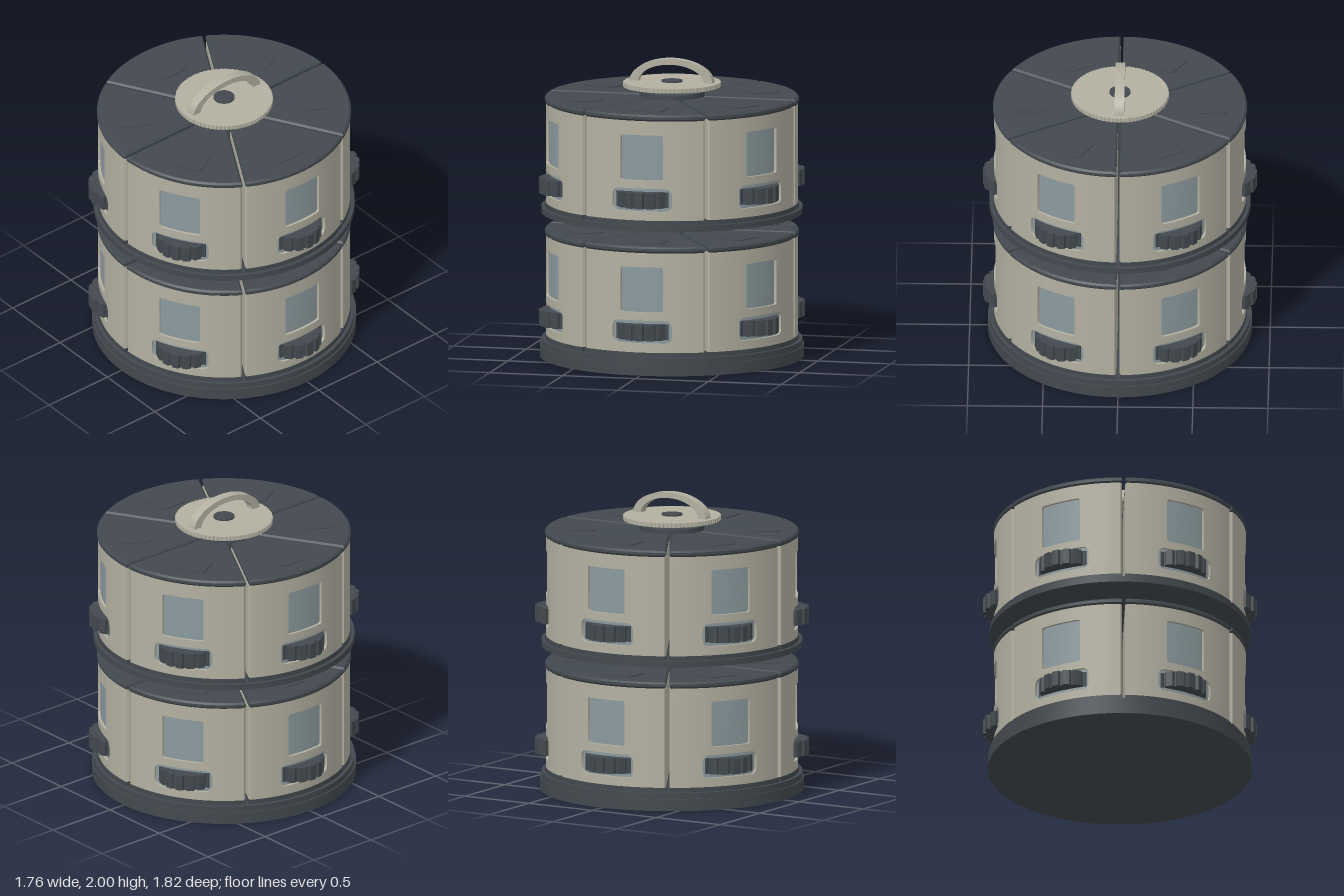
import * as THREE from 'three';
import { toCreasedNormals } from 'three/addons/utils/BufferGeometryUtils.js';

const mat = (name, color) => Object.assign(new THREE.MeshStandardMaterial({ color }), { name });
const cream = mat('warm grey shell', 0xb3b0a1);
const dark = mat('charcoal', 0x42494e);
const glass = mat('blue grey glass', 0x8b9a9e);

const R = 0.84, CORE = 0.82, HALF = Math.PI / 6;

function part(name, geometry, material) {
  const m = new THREE.Mesh(geometry, material);
  m.name = name;
  return m;
}

// Upright disc between two heights
function disc(name, r, y0, y1, material = dark) {
  const m = part(name, new THREE.CylinderGeometry(r, r, y1 - y0, 96), material);
  m.position.y = (y0 + y1) / 2;
  return m;
}

// Plan shape (x, z) extruded between two heights, with an optional bevel
function slab(shape, y0, y1, bevel = 0) {
  const g = new THREE.ExtrudeGeometry(shape, {
    depth: y1 - y0 - 2 * bevel, bevelEnabled: bevel > 0, bevelThickness: bevel,
    bevelSize: bevel, bevelSegments: 1, curveSegments: 8,
  });
  g.rotateX(Math.PI / 2).translate(0, y1 - bevel, 0);
  return toCreasedNormals(g, 0.4);
}

// Sixth of a ring, its straight sides set back by gap
function wedge(outer, inner, gap) {
  const pts = [];
  const arc = (r, dir) => {
    const a = HALF - Math.asin(gap / r);
    for (let i = 0; i <= 20; i++) {
      const t = dir * a * (1 - i / 10);
      pts.push(new THREE.Vector2(r * Math.sin(t), r * Math.cos(t)));
    }
  };
  arc(outer, 1);
  arc(inner, -1);
  return new THREE.Shape(pts);
}

// Wheel outline with shallow grooves
function knurled(r, depth, teeth) {
  const pts = [];
  for (let i = 0; i < teeth; i++) {
    for (const [f, d] of [[-0.42, depth], [-0.3, 0], [0, 0], [0.3, 0], [0.42, depth]]) {
      const a = ((i + f) / teeth) * Math.PI * 2;
      pts.push(new THREE.Vector2((r - d) * Math.sin(a), (r - d) * Math.cos(a)));
    }
  }
  return new THREE.Shape(pts);
}

function roundedSquare(h, r, cy) {
  const s = new THREE.Shape();
  s.absarc(h - r, cy + h - r, r, 0, Math.PI / 2);
  s.absarc(r - h, cy + h - r, r, Math.PI / 2, Math.PI);
  s.absarc(r - h, cy + r - h, r, Math.PI, Math.PI * 1.5);
  s.absarc(h - r, cy + r - h, r, Math.PI * 1.5, Math.PI * 2);
  return s;
}

// Openings in the curved wall: half width, bottom, top, corner radius
const openings = [
  { h: 0.205, y0: 0.21, y1: 0.365, r: 0.045 },
  { h: 0.145, y0: 0.42, y1: 0.725, r: 0.015 },
];

// Curved outer wall with its openings, and the recessed panes behind them
function curvedWall(y0, y1) {
  const half = [0.04, 0.08, 0.11, 0.25, 0.29, 0.33, 0.37, 0.418];
  for (const o of openings) for (const f of [0, 0.08, 0.3, 0.6, 1]) half.push(o.h - f * o.r);
  const cols = [0, ...half, ...half.map(s => -s)].sort((a, b) => a - b).map(s => ({ s, u: s / R, r: R }));
  // Chamfered vertical edges fall back to the core
  const edge = HALF - Math.asin(0.01 / CORE);
  cols.unshift({ s: -1, u: -edge, r: CORE });
  cols.push({ s: 1, u: edge, r: CORE });

  const wall = [], panes = [];
  const P = (c, y, r = c.r) => [r * Math.sin(c.u), y, r * Math.cos(c.u)];
  const quad = (out, a, b, c, d) => out.push(...a, ...b, ...c, ...a, ...c, ...d);
  const span = (o, s) => {
    const e = Math.min(o.r, Math.max(0, Math.abs(s) - o.h + o.r));
    const inset = o.r - Math.sqrt(o.r * o.r - e * e);
    return [o.y0 + inset, o.y1 - inset];
  };
  const rows = c => [y0, ...openings.flatMap(o => span(o, c.s)), y1];

  for (let i = 0; i < cols.length - 1; i++) {
    const a = cols[i], b = cols[i + 1], ya = rows(a), yb = rows(b);
    for (let k = 0; k < ya.length - 1; k++) {
      const o = k % 2 ? openings[(k - 1) / 2] : null;
      if (!o || Math.abs(a.s + b.s) / 2 > o.h) {
        quad(wall, P(a, ya[k]), P(b, yb[k]), P(b, yb[k + 1]), P(a, ya[k + 1]));
        continue;
      }
      const q = CORE + 0.002;
      quad(panes, P(a, ya[k], q), P(b, yb[k], q), P(b, yb[k + 1], q), P(a, ya[k + 1], q));
      // Reveals below, above and at both sides of the opening
      quad(wall, P(a, ya[k]), P(b, yb[k]), P(b, yb[k], CORE), P(a, ya[k], CORE));
      quad(wall, P(a, ya[k + 1], CORE), P(b, yb[k + 1], CORE), P(b, yb[k + 1]), P(a, ya[k + 1]));
      if (Math.abs(a.s + o.h) < 1e-6)
        quad(wall, P(a, ya[k]), P(a, ya[k], CORE), P(a, ya[k + 1], CORE), P(a, ya[k + 1]));
      if (Math.abs(b.s - o.h) < 1e-6)
        quad(wall, P(b, yb[k], CORE), P(b, yb[k]), P(b, yb[k + 1]), P(b, yb[k + 1], CORE));
    }
  }
  return [wall, panes].map(v => {
    const g = new THREE.BufferGeometry();
    g.setAttribute('position', new THREE.Float32BufferAttribute(v, 3));
    g.computeVertexNormals();
    return toCreasedNormals(g, 0.4);
  });
}

export function createModel() {
  const model = new THREE.Group();
  model.name = 'stackedCarousel';

  // Shared container geometry
  const [wall, panes] = curvedWall(0.15, 0.82);
  const core = slab(wedge(CORE, 0.2, 0.01), 0.15, 0.82);
  const foot = slab(wedge(0.845, 0.2, 0.01), 0.12, 0.15);
  const lid = slab(wedge(0.833, 0.21, 0.022), 0.82, 0.862, 0.012);
  const hatch = slab(roundedSquare(0.11, 0.04, 0.61), 0.86, 0.868);
  const dial = slab(knurled(0.2, 0.016, 16), 0.237, 0.342);

  // Two tiers of six containers
  for (let tier = 0; tier < 2; tier++) {
    const level = new THREE.Group();
    level.name = tier ? 'upperTier' : 'lowerTier';
    level.position.y = tier * 0.89;
    level.add(disc('tray', 0.87, 0.08, 0.12), disc('hub', 0.215, 0.855, 0.892));
    for (let i = 0; i < 6; i++) {
      const pod = new THREE.Group();
      pod.name = 'container';
      pod.rotation.y = (i * Math.PI) / 3;
      const wheel = part('dial', dial, dark);
      wheel.position.z = 0.712;
      pod.add(
        part('containerCore', core, cream), part('curvedWall', wall, cream),
        part('windowPanes', panes, glass), part('containerFoot', foot, dark),
        part('lid', lid, dark), part('lidHatch', hatch, dark), wheel,
      );
      level.add(pod);
    }
    model.add(level);
  }

  // Base and centre column
  model.add(disc('base', 0.88, 0, 0.08), disc('centreColumn', 0.07, 0.08, 1.855));

  // Top knob plate
  model.add(part('knobPlate', slab(knurled(0.325, 0.005, 72), 1.815, 1.845), cream));

  // Arched handle
  const arch = new THREE.Shape();
  arch.absellipse(0, 0, 0.285, 0.16, 0, Math.PI, false);
  arch.lineTo(-0.225, 0);
  arch.absellipse(0, 0, 0.225, 0.122, Math.PI, 0, true);
  arch.closePath();
  const archGeo = new THREE.ExtrudeGeometry(arch, { depth: 0.064, bevelEnabled: false, curveSegments: 32 });
  archGeo.translate(0, 1.84, -0.032);
  model.add(part('handle', toCreasedNormals(archGeo, 0.4), cream));

  return model;
}
